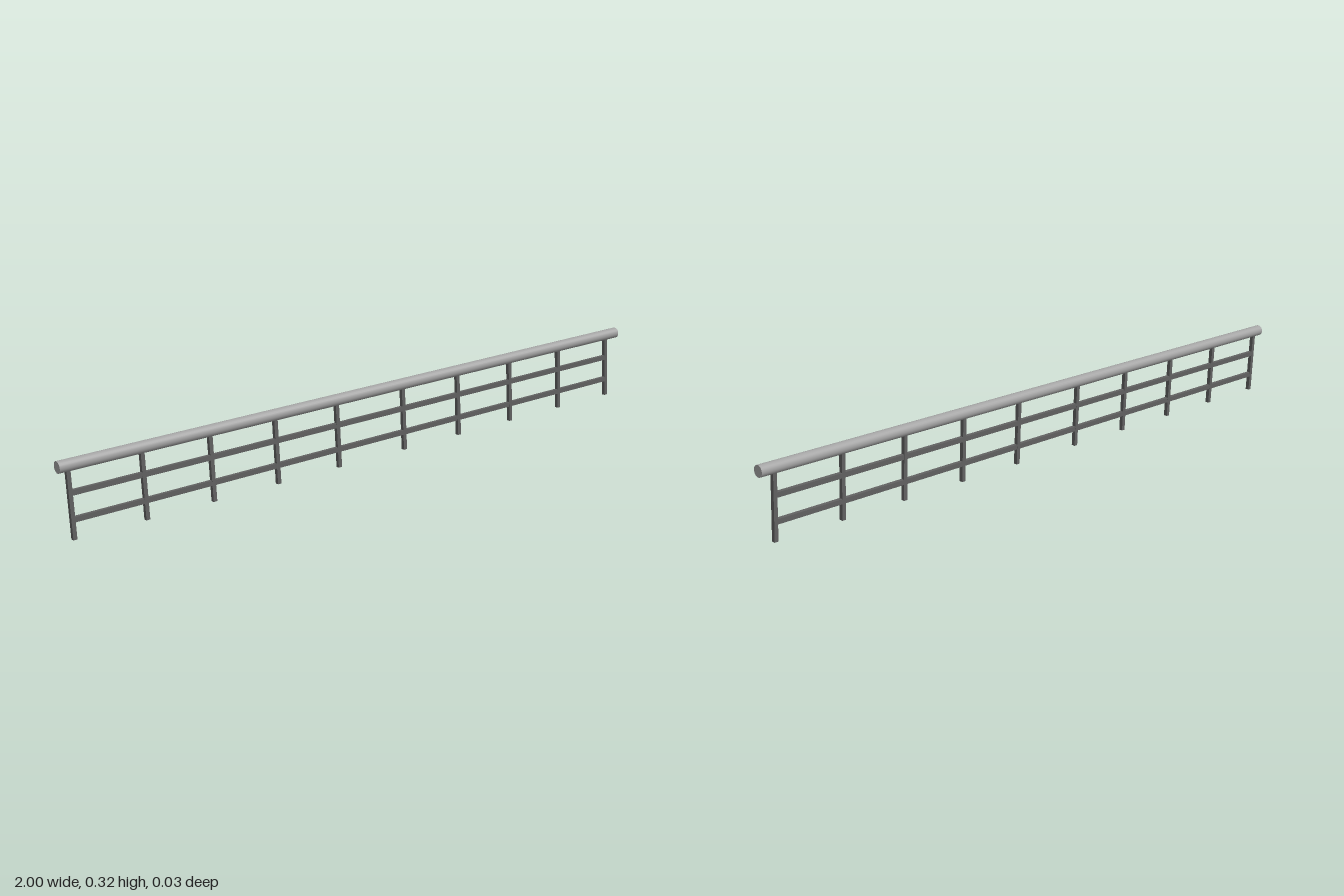
import * as THREE from 'three';

export function createModel() {
  const railGrey = new THREE.MeshStandardMaterial({ color: 0xa4a4a4 });
  railGrey.name = 'light grey rail';
  const frameGrey = new THREE.MeshStandardMaterial({ color: 0x626262 });
  frameGrey.name = 'dark grey frame';

  const model = new THREE.Group();
  model.name = 'railing';

  // everything hangs below the handrail axis and slopes up towards +x
  const railing = new THREE.Group();
  railing.name = 'slopedRailing';
  railing.position.y = 0.2505;
  railing.rotation.z = 0.0516;
  model.add(railing);

  function add(name, geometry, material, x, y) {
    const mesh = new THREE.Mesh(geometry, material);
    mesh.name = name;
    mesh.position.set(x, y, 0);
    railing.add(mesh);
  }

  // thick round handrail
  const rail = new THREE.CylinderGeometry(0.0165, 0.0165, 2, 24).rotateZ(Math.PI / 2);
  add('handrail', rail, railGrey, 0, 0);

  // posts in two groups of five, with a wider gap in the middle
  const centre = -0.009;
  const postOffsets = [0.12, 0.331, 0.542, 0.75, 0.963];
  const postTop = -0.005, postBottom = -0.2;
  const post = new THREE.BoxGeometry(0.0115, postTop - postBottom, 0.0115);
  for (const side of [-1, 1]) {
    for (const offset of postOffsets) {
      add('post', post, frameGrey, centre + side * offset, (postTop + postBottom) / 2);
    }
  }

  // two bars running between the end posts, slightly taller than deep
  const bar = new THREE.BoxGeometry(2 * 0.963, 0.0145, 0.011);
  add('middleBar', bar, frameGrey, centre, -0.0745);
  add('lowerBar', bar, frameGrey, centre, -0.1465);
  return model;
}
